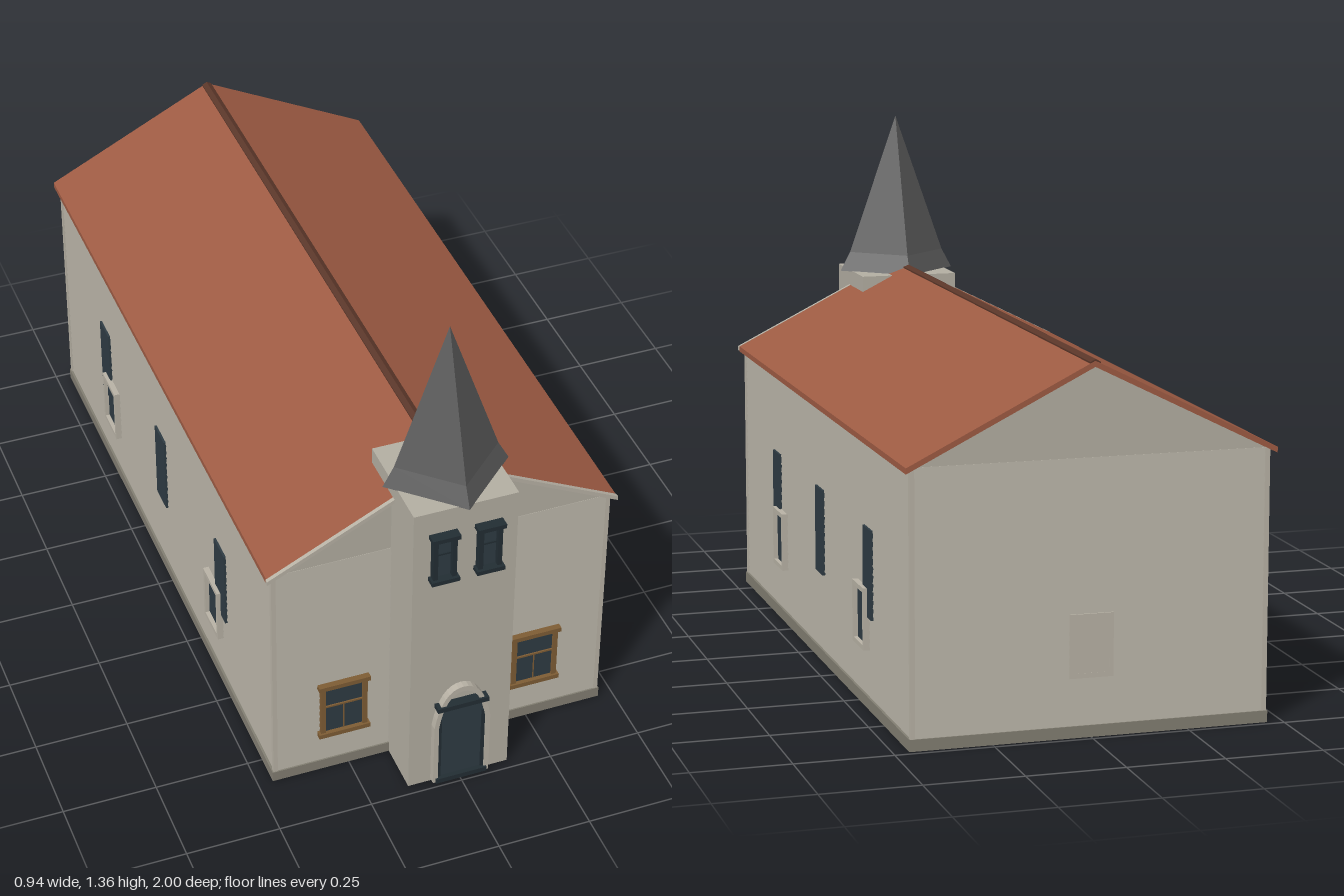
import * as THREE from 'three';

const mat = (name, color) => {
  const m = new THREE.MeshStandardMaterial({ color });
  m.name = name;
  return m;
};

export function createModel() {
  const wall = mat('wall beige', 0xb3aea2);
  const trim = mat('trim beige', 0xb8b2a5);
  const stone = mat('foundation grey', 0x827e72);
  const red = mat('roof red', 0x9e5b43);
  const ridgeBrown = mat('ridge brown', 0x5a3629);
  const slate = mat('spire grey', 0x5c5c5c);
  const glass = mat('dark glass', 0x2e3b43);
  const darkFrame = mat('dark frame', 0x222d33);
  const wood = mat('wood brown', 0x7d5c34);

  const church = new THREE.Group();
  church.name = 'church';

  const add = (parent, name, geo, material) => {
    const m = new THREE.Mesh(geo, material);
    m.name = name;
    parent.add(m);
    return m;
  };
  // box given by its min and max on each axis
  const box = (parent, name, material, x0, x1, y0, y1, z0, z1) => {
    const m = add(parent, name, new THREE.BoxGeometry(x1 - x0, y1 - y0, z1 - z0), material);
    m.position.set((x0 + x1) / 2, (y0 + y1) / 2, (z0 + z1) / 2);
    return m;
  };
  const shapeOf = (pts) => new THREE.Shape(pts.map((p) => new THREE.Vector2(...p)));
  const extrude = (parent, name, material, shape, z0, z1) => {
    const geo = new THREE.ExtrudeGeometry(shape, { depth: z1 - z0, bevelEnabled: false, curveSegments: 8 });
    geo.translate(0, 0, z0);
    return add(parent, name, geo, material);
  };
  const group = (name, x, y, z, turn = 0) => {
    const g = new THREE.Group();
    g.name = name;
    g.position.set(x, y, z);
    g.rotation.y = turn;
    church.add(g);
    return g;
  };

  // nave with gables, on a foundation
  extrude(church, 'nave', wall, shapeOf([[-0.45, 0.02], [0.45, 0.02], [0.45, 0.697], [0, 0.92], [-0.45, 0.697]]), -0.978, 0.826);
  box(church, 'foundation', stone, -0.46, 0.46, 0, 0.03, -0.985, 0.834);

  // clapboard siding: a sawtooth profile run along each wall
  const siding = (name, length, x, z, turn) => {
    const pts = [[-0.002, 0.03]];
    const n = 31, pitch = 0.665 / n;
    for (let i = 0; i < n; i++) pts.push([0.004, 0.03 + i * pitch], [0.001, 0.03 + (i + 1) * pitch]);
    pts.push([-0.002, 0.695]);
    const g = group(name, x, 0, z, turn);
    extrude(g, 'boards', wall, shapeOf(pts), -length / 2, length / 2);
  };
  siding('leftSiding', 1.8, 0.45, -0.076, 0);
  siding('rightSiding', 1.8, -0.45, -0.076, Math.PI);
  siding('frontSiding', 0.9, 0, 0.826, -Math.PI / 2);
  siding('backSiding', 0.9, 0, -0.978, Math.PI / 2);

  // corner boards
  for (const s of [-1, 1]) {
    const a = Math.min(s * 0.445, s * 0.457), b = Math.max(s * 0.445, s * 0.457);
    box(church, 'cornerBoard', trim, a, b, 0.03, 0.695, 0.82, 0.832);
    box(church, 'cornerBoard', trim, a, b, 0.03, 0.695, -0.984, -0.972);
  }

  // roof, front rake boards and ridge cap
  const chevron = (w, top, t) => shapeOf([
    [-w, top - w / 2], [-w, top - w / 2 - t], [0, top - t], [w, top - w / 2 - t], [w, top - w / 2], [0, top]]);
  extrude(church, 'roof', red, chevron(0.47, 0.934, 0.015), -1, 0.835);
  extrude(church, 'rakeBoards', trim, chevron(0.472, 0.935, 0.012), 0.835, 0.846);
  extrude(church, 'ridgeCap', ridgeBrown, chevron(0.013, 0.938, 0.006), -1, 0.835);

  // tower and four-sided flared spire
  box(church, 'tower', wall, -0.138, 0.138, 0, 0.909, 0.69, 0.972);
  const profile = [[0, 0.908], [0.167, 0.908], [0.138, 0.962], [0.0001, 1.355]];
  const spireGeo = new THREE.LatheGeometry(profile.map((p) => new THREE.Vector2(...p)), 4).toNonIndexed();
  spireGeo.computeVertexNormals();
  const spire = add(church, 'spire', spireGeo, slate);
  spire.scale.z = 0.93;
  spire.position.z = 0.836;

  // sash window facing +z: centre at the origin, with sill and header
  const sash = (g, w, h, t, depth, frame) => {
    const x = w / 2, y = h / 2;
    box(g, 'pane', glass, -x + t, x - t, -y + t, y - t, 0, 0.006);
    for (const s of [-1, 1]) {
      box(g, 'jamb', frame, s * (x - t) - t / 2, s * (x - t) + t / 2, -y, y, 0, depth * 0.7);
      box(g, 'sillOrHeader', frame, -x, x, s * (y - t / 2) - t / 2, s * (y - t / 2) + t / 2, 0, depth);
    }
    box(g, 'midRail', frame, -x + t, x - t, -0.002 + h * 0.06, 0.003 + h * 0.06, 0, 0.01);
  };
  for (const s of [-1, 1]) {
    const front = group('frontWindow', s * 0.265, 0.206, 0.828);
    sash(front, 0.14, 0.176, 0.013, 0.018, wood);
    box(front, 'mullion', wood, -0.0015, 0.0015, -0.08, 0.01, 0, 0.008);
    sash(group('towerWindow', s * 0.06, 0.768, 0.972), 0.074, 0.146, 0.012, 0.028, darkFrame);
  }

  // side walls: tall dark panes and framed small windows
  for (const s of [-1, 1]) {
    for (const z of [0.425, -0.075, -0.58]) {
      const g = group('tallSideWindow', s * 0.452, 0.35, z, s * Math.PI / 2);
      box(g, 'pane', glass, -0.04, 0.04, -0.115, 0.115, 0, 0.007);
    }
    for (const z of [0.373, -0.527]) framed(group('smallSideWindow', s * 0.452, 0.23, z, s * Math.PI / 2), glass);
  }
  framed(group('backWindow', 0, 0.23, -0.98, Math.PI), trim);

  function framed(g, paneMaterial) {
    const rect = (w, h) => [[-w, -h], [w, -h], [w, h], [-w, h]];
    const ring = shapeOf(rect(0.056, 0.08));
    ring.holes.push(shapeOf(rect(0.045, 0.068)));
    extrude(g, 'frame', trim, ring, 0, paneMaterial === trim ? 0.006 : 0.017);
    box(g, 'pane', paneMaterial, -0.046, 0.046, -0.069, 0.069, 0, 0.0055);
  }

  // door with a pointed arch surround
  const door = group('door', 0, 0, 0.972);
  const arch = (w, spring, top) => {
    const s = new THREE.Shape();
    s.moveTo(-w, 0.008);
    s.lineTo(w, 0.008);
    s.lineTo(w, spring);
    s.quadraticCurveTo(w * 0.75, top, 0, top);
    s.quadraticCurveTo(-w * 0.75, top, -w, spring);
    return s;
  };
  const surround = arch(0.077, 0.2, 0.324);
  surround.holes.push(arch(0.064, 0.2, 0.308));
  extrude(door, 'archSurround', trim, surround, 0, 0.02);
  extrude(door, 'doorPanel', glass, shapeOf([
    [-0.065, 0.012], [0.065, 0.012], [0.065, 0.215], [0.055, 0.26], [-0.055, 0.26], [-0.065, 0.215]]), 0, 0.012);
  box(door, 'doorHeader', darkFrame, -0.07, 0.07, 0.256, 0.27, 0, 0.025);
  box(door, 'doorStep', darkFrame, -0.07, 0.07, 0.008, 0.022, 0, 0.025);
  for (const s of [-1, 1]) box(door, 'doorJamb', darkFrame, s * 0.06 - 0.005, s * 0.06 + 0.005, 0.02, 0.22, 0, 0.016);

  return church;
}
